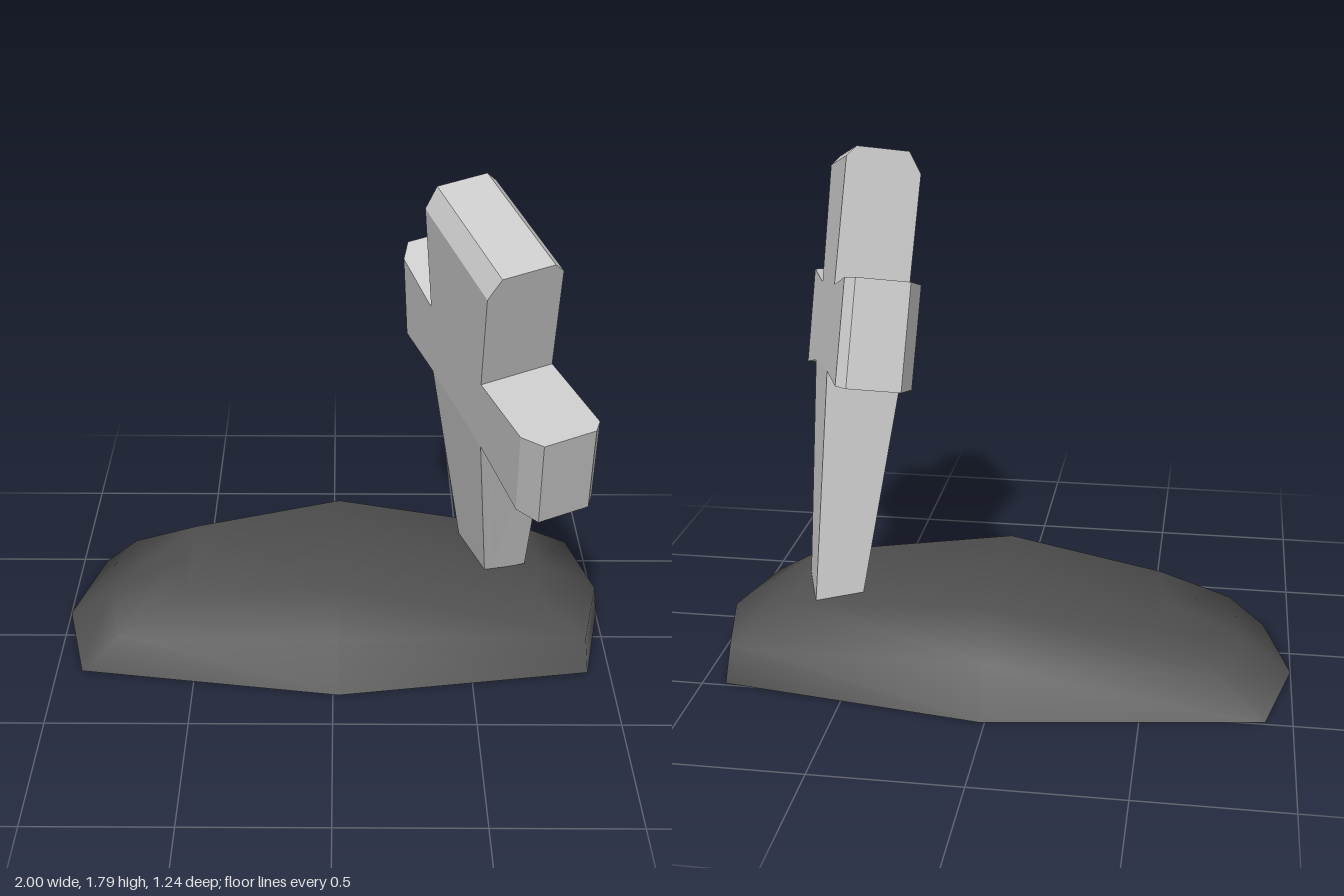
import * as THREE from 'three';

const quad = (a, b, c, d) => [a, b, c, a, c, d];

function surface(points, index) {
  const geo = new THREE.BufferGeometry();
  geo.setAttribute('position', new THREE.Float32BufferAttribute(points.flat(), 3));
  geo.setIndex(index);
  geo.computeVertexNormals();
  return geo;
}

// Faces joining consecutive rings of n points
function ringFaces(rings, n) {
  const index = [];
  for (let k = 0; k < rings - 1; k++) {
    for (let i = 0; i < n; i++) {
      const a = k * n + i, b = k * n + (i + 1) % n;
      index.push(...quad(a, a + n, b + n, b));
    }
  }
  return index;
}

// Elongated earth mound: three eight-sided rings and a ridged cap, open below
function createMound() {
  const zc = -0.138;
  const levels = [
    // right tip, right corner, left corner, left tip, corner half depth, middle half depth, end y, middle y
    [1, 0.92, -0.91, -1, 0.35, 0.482, 0, 0],
    [0.985, 0.91, -0.78, -0.83, 0.31, 0.39, 0.125, 0.16],
    [0.76, 0.73, -0.53, -0.55, 0.225, 0.295, 0.25, 0.325],
  ];
  const points = [];
  for (const [rt, rc, lc, lt, dc, dm, ye, ym] of levels) {
    points.push(
      [rt, ye, zc], [rc, ye, zc + dc], [0.02, ym, zc + dm], [lc, ye, zc + dc],
      [lt, ye, zc], [lc, ye, zc - dc], [0.02, ym, zc - dm], [rc, ye, zc - dc]);
  }
  const cap = [1, 0, 7, ...quad(1, 7, 6, 2), ...quad(2, 6, 5, 3), 3, 5, 4];
  const index = [...ringFaces(3, 8), ...cap.map((i) => i + 16)];
  const mound = new THREE.Mesh(
    surface(points, index),
    new THREE.MeshStandardMaterial({ color: 0x4f4f4f, side: THREE.DoubleSide }));
  mound.name = 'mound';
  return mound;
}

// Leaning cross marker with its three free ends chamfered, narrowing to a thin foot
function createCross() {
  // Outline as (z, y), starting at the top far corner
  const outline = [
    [-0.09, 1.79], [0.37, 1.67], [0.21, 1.245], [0.56, 1.205],
    [0.455, 0.865], [0.14, 0.975], [-0.11, 0.258], [-0.34, 0.258],
    [-0.24, 1.06], [-0.54, 1.105], [-0.455, 1.445], [-0.17, 1.34],
  ].map(([z, y]) => new THREE.Vector2(-z, y));
  const n = outline.length;
  const normal = new THREE.Vector3(1, 0.15, -0.34).normalize();

  // End corners slide towards these inner corners to form the chamfers
  const inner = { 0: 11, 1: 2, 3: 2, 4: 5, 9: 8, 10: 11 };

  // Rings through the thickness: depth and chamfer slide
  const rings = [[-0.03, 0.035], [0, 0], [0.175, 0], [0.22, 0.07]];
  const points = [];
  for (const [depth, slide] of rings) {
    outline.forEach((corner, i) => {
      const p = corner.clone();
      if (i in inner) {
        p.addScaledVector(outline[inner[i]].clone().sub(corner).normalize(), slide);
      }
      const foot = i === 6 || i === 7;
      const v = new THREE.Vector3(0.795 - 0.15 * p.y - 0.34 * p.x, p.y, -p.x);
      v.addScaledVector(normal, foot ? -0.03 - 0.65 * depth : -depth);
      if (foot) v.y = p.y;
      points.push(v.toArray());
    });
  }
  const index = ringFaces(rings.length, n);
  const back = (rings.length - 1) * n;
  for (const [a, b, c] of THREE.ShapeUtils.triangulateShape(outline, [])) {
    index.push(a, b, c, c + back, b + back, a + back);
  }
  const cross = new THREE.Mesh(
    surface(points, index),
    new THREE.MeshStandardMaterial({ color: 0xcccccc, flatShading: true }));
  cross.name = 'crossMarker';
  return cross;
}

export function createModel() {
  const model = new THREE.Group();
  model.name = 'graveWithCross';
  model.add(createMound(), createCross());
  return model;
}
